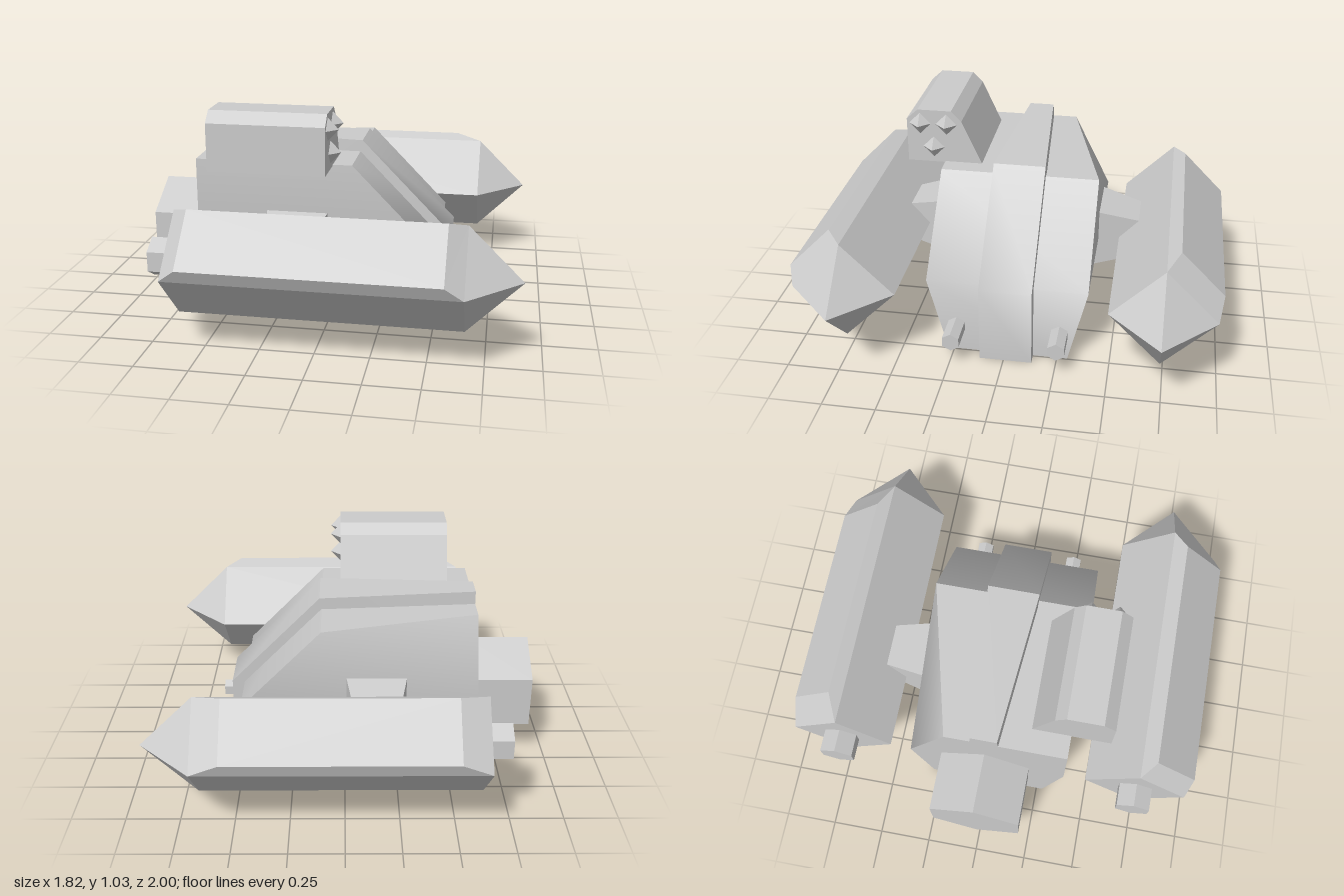
import * as THREE from 'three';
import { toCreasedNormals } from 'three/addons/utils/BufferGeometryUtils.js';

const flat = new THREE.MeshStandardMaterial({ color: 0xcccccc, flatShading: true });
const smooth = new THREE.MeshStandardMaterial({ color: 0xcccccc });

// Closed solid between two matching outlines; caps fan out from the first point
function loft(a, b) {
  const n = a.length, tris = [];
  for (let i = 0; i < n; i++) {
    const j = (i + 1) % n;
    tris.push([a[i], a[j], b[j]], [a[i], b[j], b[i]]);
    if (i > 0 && j > 0) tris.push([b[0], b[i], b[j]], [a[0], a[j], a[i]]);
  }
  // Turn the faces outward whichever way the outlines run
  const c = a[0], u = new THREE.Vector3(), v = new THREE.Vector3(), w = new THREE.Vector3();
  let volume = 0;
  for (const [p, q, r] of tris) {
    [[u, p], [v, q], [w, r]].forEach(([t, s]) => t.set(s[0] - c[0], s[1] - c[1], s[2] - c[2]));
    volume += u.dot(v.cross(w));
  }
  if (volume < 0) tris.forEach((t) => t.reverse());
  const g = new THREE.BufferGeometry();
  g.setAttribute('position', new THREE.Float32BufferAttribute(tris.flat(2), 3));
  g.computeVertexNormals();
  return g;
}

// Prism or spike running along x from x0 to x1, with a corner pointing up
function rod(x0, x1, y, z, r0, r1, sides) {
  const g = new THREE.CylinderGeometry(r1, r0, x1 - x0, sides, 1, false, Math.PI / 2);
  g.rotateZ(-Math.PI / 2);
  g.translate((x0 + x1) / 2, y, z);
  return g;
}

function add(parent, name, geometry, material = flat) {
  const mesh = new THREE.Mesh(geometry, material);
  mesh.name = name;
  parent.add(mesh);
}

export function createModel() {
  const root = new THREE.Group();
  root.name = 'vehicle';

  // Hull: side profile points as x, y, right z, left z
  const hull = [
    [-0.63, 0.39, -0.39, 0.375], [-0.63, 0, -0.3, 0.28], [0.495, 0, -0.3, 0.28],
    [0.495, 0.375, -0.39, 0.375], [0.11, 0.77, -0.39, 0.375], [-0.63, 0.77, -0.2, 0.375],
  ];
  // Raised spine, narrowing to the rear along the top
  const spine = [
    [-0.63, 0, -0.13, 0.11], [0.555, 0, -0.135, 0.115], [0.555, 0.38, -0.135, 0.115],
    [0.12, 0.825, -0.135, 0.115], [-0.63, 0.833, -0.075, 0.05],
  ];
  for (const [name, pts] of [['hull', hull], ['spine', spine]]) {
    const g = loft(pts.map(([x, y, r]) => [x, y, r]), pts.map(([x, y, , l]) => [x, y, l]));
    add(root, name, toCreasedNormals(g, 0.785), smooth);
  }

  // Main engine block at the rear
  add(root, 'engine', rod(-0.91, -0.6, 0.31, -0.015, 0.25, 0.25, 6));

  for (const s of [1, -1]) {
    const side = new THREE.Group();
    side.name = s > 0 ? 'leftSide' : 'rightSide';
    root.add(side);
    const z = s > 0 ? 0.725 : -0.735;

    // Diamond pod, pointed nose and rear stub
    add(side, 'pod', rod(-0.625, 0.66, 0.39, z, 0.243, 0.243, 4));
    add(side, 'podNose', rod(0.66, 0.905, 0.39, z, 0.243, 0, 4));
    add(side, 'podStub', rod(-0.732, -0.6, 0.41, z, 0.09, 0.09, 6));

    // Bevelled armour plate on the upper outer face
    const [x0, x1] = s > 0 ? [-0.545, 0.58] : [-0.49, 0.53];
    const quad = (xa, xb, yt, zt, yo, zo) =>
      [[xa, yt, zt], [xb, yt, zt], [xb, yo, zo], [xa, yo, zo]];
    add(side, 'podArmour', loft(
      quad(-0.625, 0.66, 0.633, z, 0.39, z + s * 0.243),
      quad(x0, x1, 0.66, s * 0.795, 0.453, s)));

    // Tapered strut from hull to pod
    const square = (xa, xb, h, zz) =>
      [[xa, 0.385 - h, zz], [xb, 0.385 - h, zz], [xb, 0.385 + h, zz], [xa, 0.385 + h, zz]];
    add(side, 'strut', loft(square(-0.305, 0.005, 0.165, s * 0.31), square(-0.25, -0.04, 0.098, s * 0.59)));

    // Small front barrel
    add(side, 'barrel', rod(0.48, 0.64, 0.137, s > 0 ? 0.235 : -0.26, 0.045, 0.045, 6));
  }

  // Launcher on the left shoulder with three spikes
  const launcher = new THREE.Group();
  launcher.name = 'launcher';
  root.add(launcher);
  const section = [[0.765, 0.56], [0.765, 0.19], [0.985, 0.29], [1.035, 0.34], [1.035, 0.505], [0.985, 0.56]];
  add(launcher, 'launcherBox', loft(
    section.map(([y, z]) => [-0.52, y, z]), section.map(([y, z]) => [0.02, y, z])));
  for (const [y, z] of [[0.965, 0.495], [0.965, 0.365], [0.845, 0.43]])
    add(launcher, 'spike', rod(0.02, 0.07, y, z, 0.053, 0, 4));

  return root;
}
